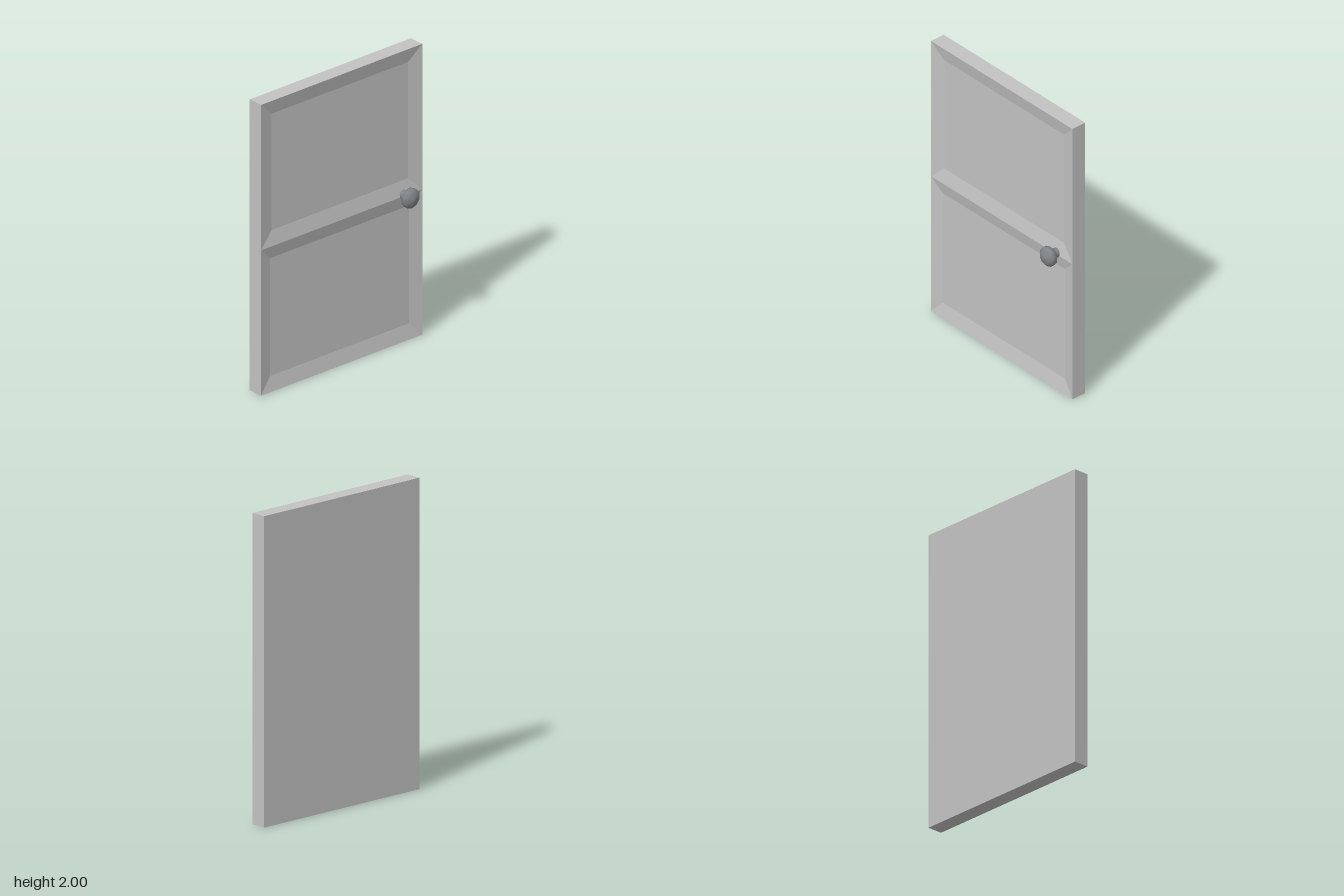
import * as THREE from 'three';

const W = 0.665, H = 2, T = 0.107, DEPTH = 0.02;

// Sunken panel: four sloping borders around a flat floor
function panelGeometry(y0, y1, ix0, ix1, iy0, iy1) {
  const outer = [[-W, y0, 0], [W, y0, 0], [W, y1, 0], [-W, y1, 0]];
  const inner = [[ix0, iy0, -DEPTH], [ix1, iy0, -DEPTH], [ix1, iy1, -DEPTH], [ix0, iy1, -DEPTH]];
  const pos = [];
  const quad = (a, b, c, d) => pos.push(...a, ...b, ...c, ...a, ...c, ...d);
  for (let i = 0; i < 4; i++) {
    const j = (i + 1) % 4;
    quad(outer[i], outer[j], inner[j], inner[i]);
  }
  quad(...inner);
  const g = new THREE.BufferGeometry();
  g.setAttribute('position', new THREE.Float32BufferAttribute(pos, 3));
  g.computeVertexNormals();
  return g;
}

export function createModel() {
  const group = new THREE.Group();
  group.name = 'door';
  const doorGrey = new THREE.MeshStandardMaterial({ color: 0xc2c2c2 });
  doorGrey.name = 'doorGrey';
  const knobMetal = new THREE.MeshStandardMaterial({ color: 0x7f8589 });
  knobMetal.name = 'knobMetal';

  const add = (name, geometry, material) => {
    const mesh = new THREE.Mesh(geometry, material);
    mesh.name = name;
    group.add(mesh);
    return mesh;
  };

  // Slab: a box without its front face, which the panels replace
  const slab = new THREE.BoxGeometry(2 * W, H, T);
  const index = Array.from(slab.index.array);
  index.splice(24, 6);
  slab.setIndex(index);
  slab.clearGroups();
  slab.translate(0, H / 2, -T / 2);
  add('doorSlab', slab, doorGrey);

  // Two recessed panels meeting in a ridge at mid height
  add('upperPanel', panelGeometry(1, 2, -0.56, 0.565, 1.1, 1.9), doorGrey);
  add('lowerPanel', panelGeometry(0, 1, -0.573, 0.573, 0.1, 0.91), doorGrey);

  // Knob and its neck, turned about the z axis
  const turned = (profile) => {
    const g = new THREE.LatheGeometry(profile.map(([r, z]) => new THREE.Vector2(r, z)), 10);
    return g.rotateX(Math.PI / 2).translate(0.512, 1.01, 0);
  };
  add('knobNeck', turned([[0.032, -DEPTH], [0.032, 0.03]]), knobMetal);
  add('knob', turned([[0, 0.022], [0.04, 0.026], [0.066, 0.048],
    [0.066, 0.077], [0.04, 0.098], [0, 0.106]]), knobMetal);

  return group;
}
